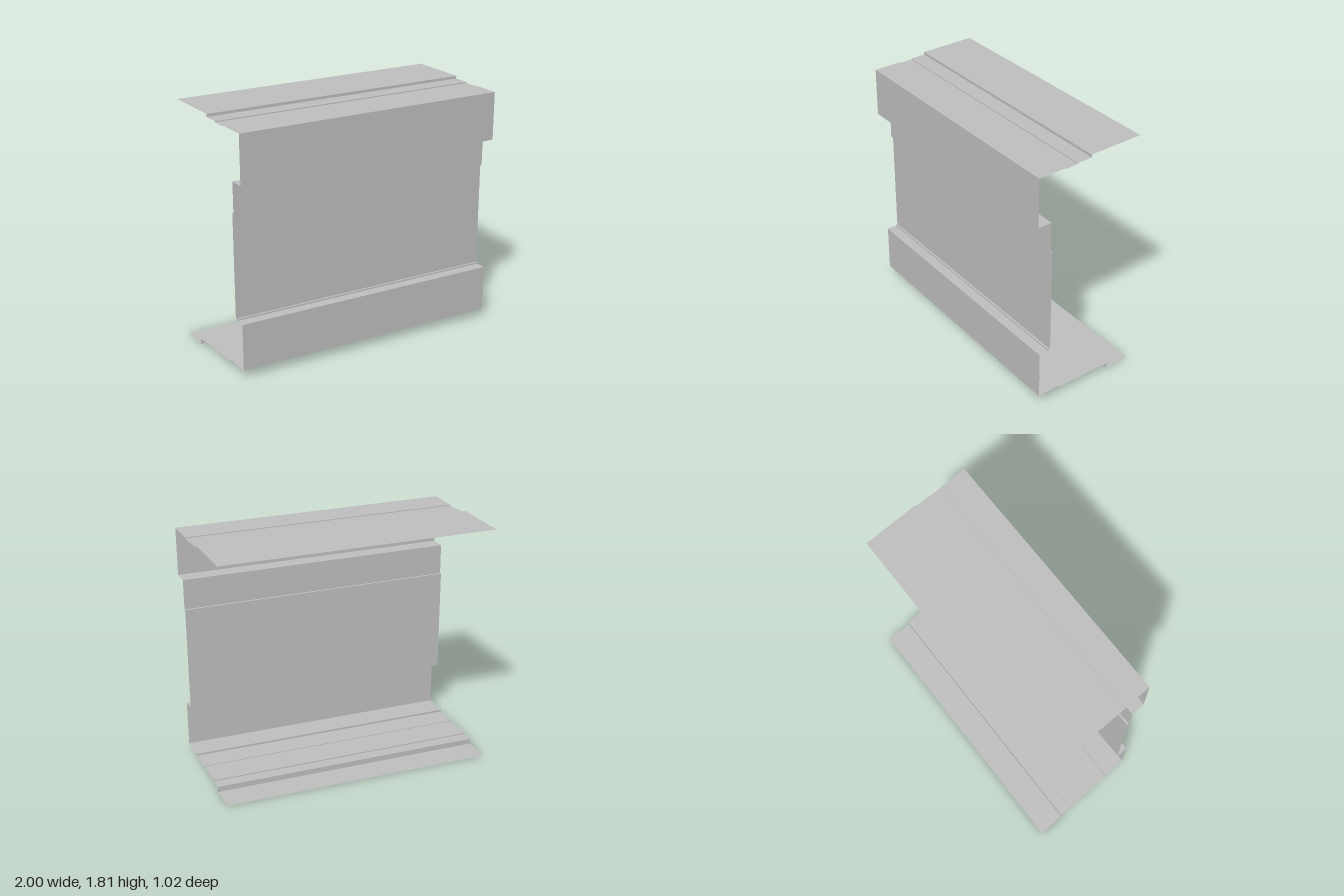
import * as THREE from 'three';

const HALF = 1;        // half length along x
const SKEW = 0.0735;   // z drift per unit of x

// Folded sheet: sweep a [z, y] profile along the skewed length, with crisp bends
function foldedSheet(name, profile, material) {
  const pos = [];
  const at = ([z, y], x) => [x, y, z + x * SKEW];
  for (let i = 0; i < profile.length - 1; i++) {
    const a = at(profile[i], -HALF), b = at(profile[i], HALF);
    const c = at(profile[i + 1], HALF), d = at(profile[i + 1], -HALF);
    pos.push(...a, ...d, ...c, ...a, ...c, ...b);
  }
  const geo = new THREE.BufferGeometry();
  geo.setAttribute('position', new THREE.Float32BufferAttribute(pos, 3));
  geo.computeVertexNormals();
  const mesh = new THREE.Mesh(geo, material);
  mesh.name = name;
  return mesh;
}

export function createModel() {
  const group = new THREE.Group();
  group.name = 'sheetMetalProfile';
  const metal = new THREE.MeshStandardMaterial({ color: 0xc0c0c0, side: THREE.DoubleSide });
  metal.name = 'light grey metal';

  // Upper flange, back to front, with a step and a shallow groove
  group.add(foldedSheet('topFlange', [
    [-0.437, 1.81], [-0.005, 1.81], [-0.005, 1.79], [0.113, 1.79],
    [0.113, 1.783], [0.217, 1.783], [0.217, 1.789], [0.434, 1.789],
  ], metal));

  // Front wall with its projecting upper and lower bands
  group.add(foldedSheet('frontWall', [
    [0.434, 1.789], [0.434, 1.433], [0.326, 1.433], [0.326, 1.207], [0.311, 1.207],
    [0.311, 0.428], [0.326, 0.428], [0.326, 0.417], [0.402, 0.417], [0.402, 0.07],
  ], metal));

  // Lower flange, front to back, stepping down to the ground
  group.add(foldedSheet('bottomFlange', [
    [0.402, 0.07], [0.224, 0.07], [0.224, 0.055], [0.06, 0.055], [0.06, 0.05],
    [-0.152, 0.05], [-0.152, 0.042], [-0.238, 0.042], [-0.238, 0], [-0.437, 0],
  ], metal));

  return group;
}
